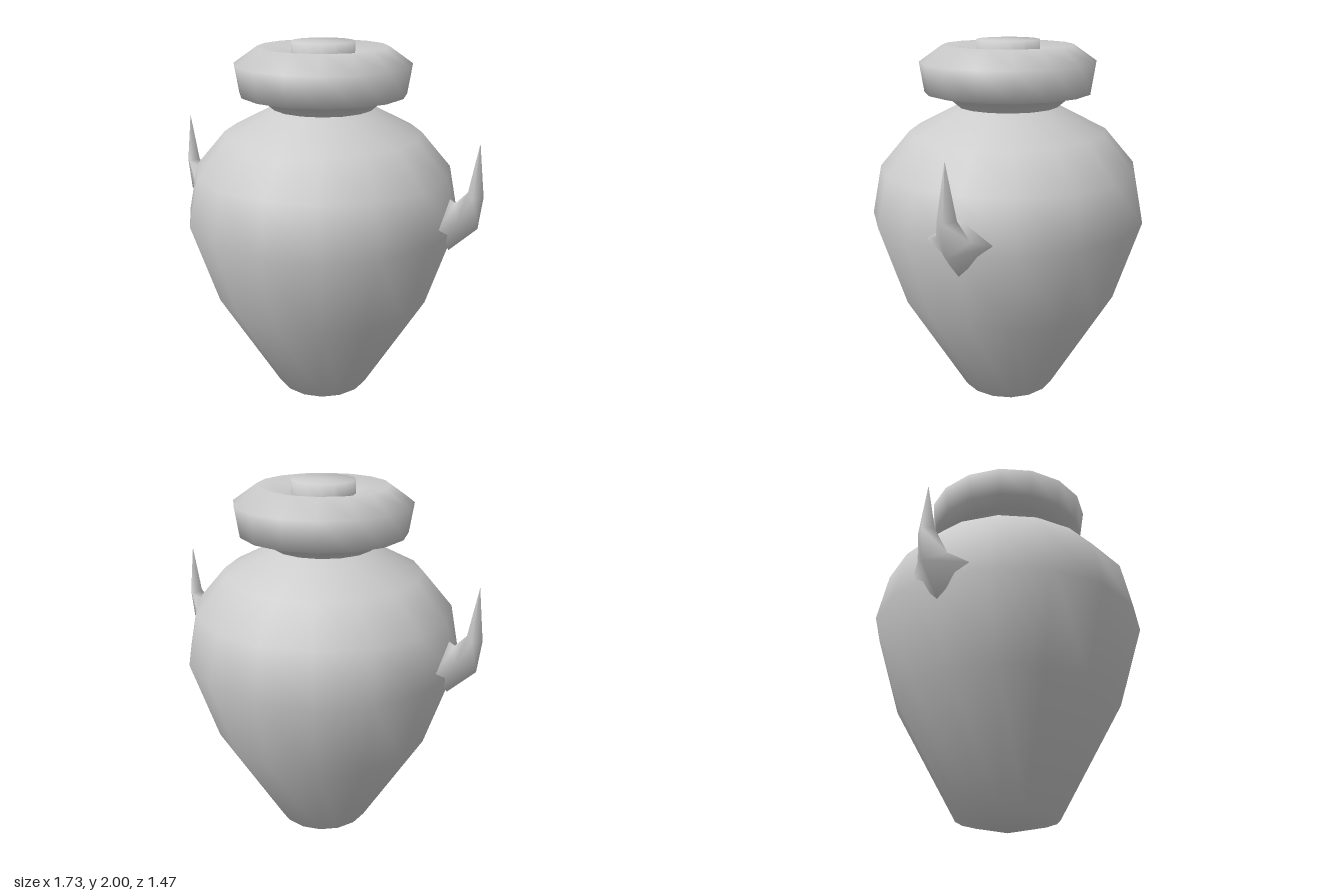
import * as THREE from 'three';

const material = new THREE.MeshStandardMaterial({ color: 0xcccccc, side: THREE.DoubleSide });

// Turned part with 16 sides, profile given as [radius, height] from bottom to top
function turned(name, profile) {
  const points = profile.map(([r, y]) => new THREE.Vector2(r, y));
  const mesh = new THREE.Mesh(new THREE.LatheGeometry(points, 16), material);
  mesh.name = name;
  return mesh;
}

// Upswept horn: diamond cross-sections ordered top, front, bottom, back, ending in a point
function hornHandle(name, angle) {
  // each section: top [x, y], sides [x, y, half width], bottom [x, y]
  const sections = [
    [[0.68, 1.265], [0.69, 1.14, 0.165], [0.71, 0.975]],
    [[0.73, 1.235], [0.765, 1.175, 0.085], [0.85, 1.115]],
    [[0.788, 1.3], [0.825, 1.29, 0.048], [0.867, 1.285]],
    [[0.83, 1.555], [0.83, 1.555, 0], [0.83, 1.555]],
  ];
  const positions = [];
  const index = [];
  sections.forEach(([top, side, bottom], k) => {
    positions.push(...top, 0, ...side, ...bottom, 0, side[0], side[1], -side[2]);
    if (k === sections.length - 1) return;
    for (let i = 0; i < 4; i++) {
      const a = k * 4 + i;
      const b = k * 4 + (i + 1) % 4;
      index.push(a, b, a + 4);
      if (k < sections.length - 2) index.push(b, b + 4, a + 4);
    }
  });
  const geometry = new THREE.BufferGeometry();
  geometry.setAttribute('position', new THREE.Float32BufferAttribute(positions, 3));
  geometry.setIndex(index);
  geometry.computeVertexNormals();
  const mesh = new THREE.Mesh(geometry, material);
  mesh.name = name;
  mesh.rotation.y = angle;
  return mesh;
}

export function createModel() {
  const group = new THREE.Group();
  group.name = 'urn';

  // Belly, tapering to a slightly pointed base and up to the narrow neck
  group.add(turned('body', [
    [0, 0], [0.265, 0.06], [0.6, 0.65], [0.735, 1.09],
    [0.68, 1.35], [0.52, 1.535], [0.265, 1.665],
  ]));

  // Flared neck and heavy rim with a dished top
  group.add(turned('rim', [
    [0.265, 1.665], [0.33, 1.72], [0.435, 1.738],
    [0.458, 1.89], [0.335, 1.975], [0.16, 1.93],
  ]));

  // Low round stopper in the mouth
  group.add(turned('stopper', [[0.163, 1.92], [0.163, 2], [0, 2]]));

  // Pair of horn handles
  group.add(hornHandle('leftHandle', 0), hornHandle('rightHandle', Math.PI));

  return group;
}
